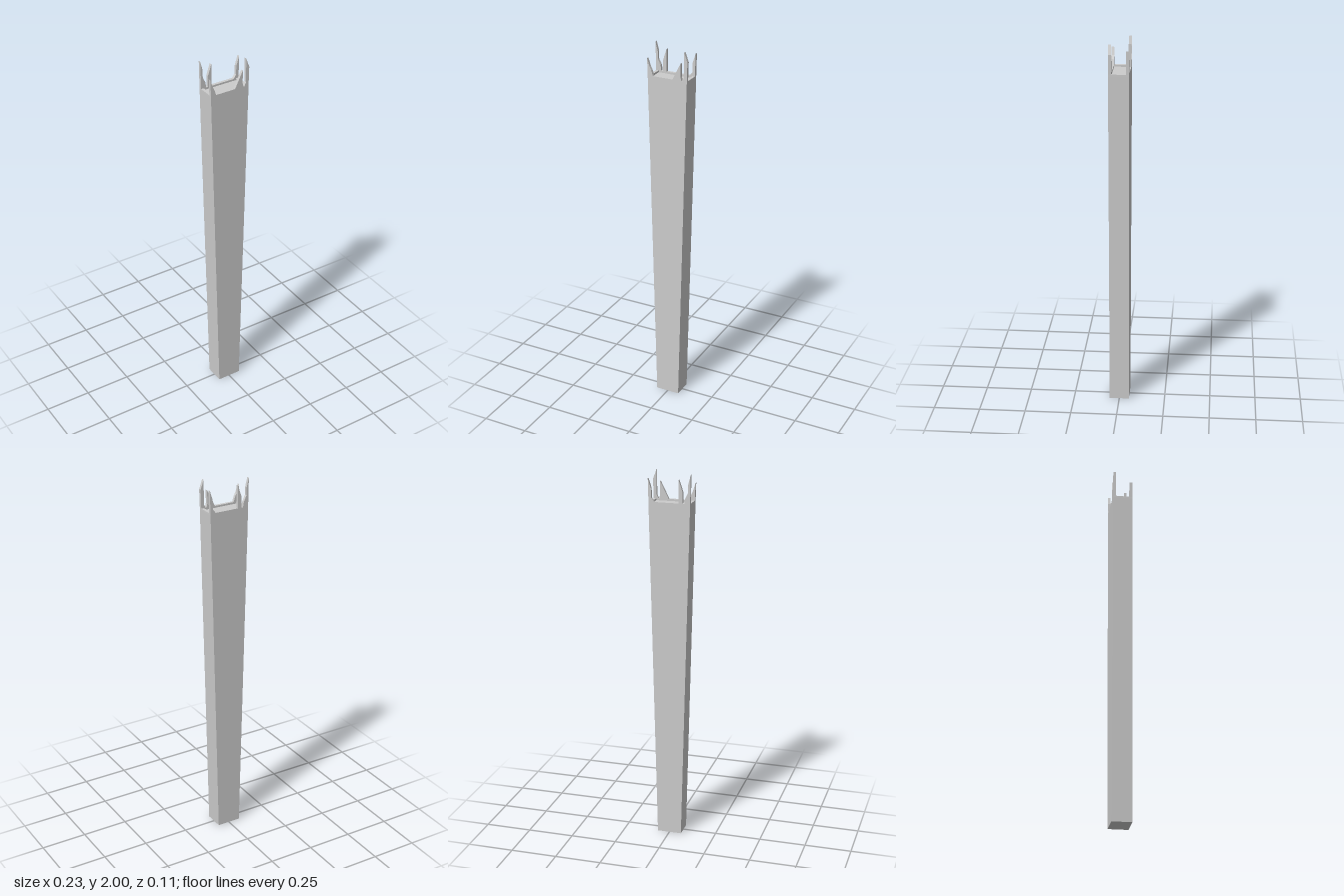
import * as THREE from 'three';

const material = new THREE.MeshStandardMaterial({ color: 0xcccccc, flatShading: true });
const TOP = 1.85;
const HALF_Z = 0.053;
const THICK = 0.015;

function mesh(name, geometry) {
  const m = new THREE.Mesh(geometry, material);
  m.name = name;
  return m;
}

// Tapered post: wide at the broken top, narrow at the foot
function taperedPost() {
  const geo = new THREE.BoxGeometry(1, TOP - 0.01, HALF_Z * 2);
  geo.translate(0, (TOP - 0.01) / 2, 0);
  const p = geo.attributes.position;
  for (let i = 0; i < p.count; i++) {
    const half = p.getY(i) > 0.5 ? 0.11 : 0.066;
    p.setX(i, Math.sign(p.getX(i)) * half);
  }
  geo.computeVertexNormals();
  return geo;
}

// Low rim around the shallow hollow in the broken end
function brokenRim() {
  const rect = (C, x, z) => {
    const s = new C();
    s.moveTo(-x, -z);
    s.lineTo(x, -z);
    s.lineTo(x, z);
    s.lineTo(-x, z);
    s.closePath();
    return s;
  };
  const shape = rect(THREE.Shape, 0.11, HALF_Z);
  shape.holes.push(rect(THREE.Path, 0.11 - THICK, HALF_Z - THICK));
  const geo = new THREE.ExtrudeGeometry(shape, { depth: 0.01, bevelEnabled: false });
  geo.rotateX(-Math.PI / 2);
  geo.translate(0, TOP - 0.01, 0);
  return geo;
}

// Thin jagged splinter standing on the front (+1) or back (-1) wall
function splinter(name, side, points) {
  const shape = new THREE.Shape(points.map(([x, y]) => new THREE.Vector2(x, y)));
  const geo = new THREE.ExtrudeGeometry(shape, { depth: THICK, bevelEnabled: false });
  geo.translate(0, 0, side > 0 ? HALF_Z - THICK : -HALF_Z);
  return mesh(name, geo);
}

export function createModel() {
  const group = new THREE.Group();
  group.name = 'brokenLeg';
  group.add(mesh('taperedPost', taperedPost()), mesh('brokenRim', brokenRim()));

  const splinters = [
    ['frontRightSplinter', 1, [[-0.11, TOP], [-0.08, TOP], [-0.09, 1.88], [-0.1, 1.9], [-0.113, 1.94]]],
    ['backRightSplinter', -1, [[-0.11, TOP], [-0.08, TOP], [-0.085, 1.88], [-0.1, 1.91], [-0.1, 1.95], [-0.113, 2]]],
    ['backMiddleSplinter', -1, [[-0.07, TOP], [-0.05, TOP], [-0.05, 1.97], [-0.07, 1.91]]],
    ['frontMiddleSplinter', 1, [[0.03, TOP], [0.08, TOP], [0.075, 1.87], [0.075, 1.94], [0.045, 1.88]]],
    ['frontLeftSplinter', 1, [[0.085, TOP], [0.11, TOP], [0.113, 1.95], [0.095, 2], [0.095, 1.87]]],
    ['backLeftSplinter', -1, [[0.08, TOP], [0.11, TOP], [0.113, 1.97], [0.097, 1.92], [0.095, 1.87]]],
  ];
  for (const s of splinters) group.add(splinter(...s));
  return group;
}
